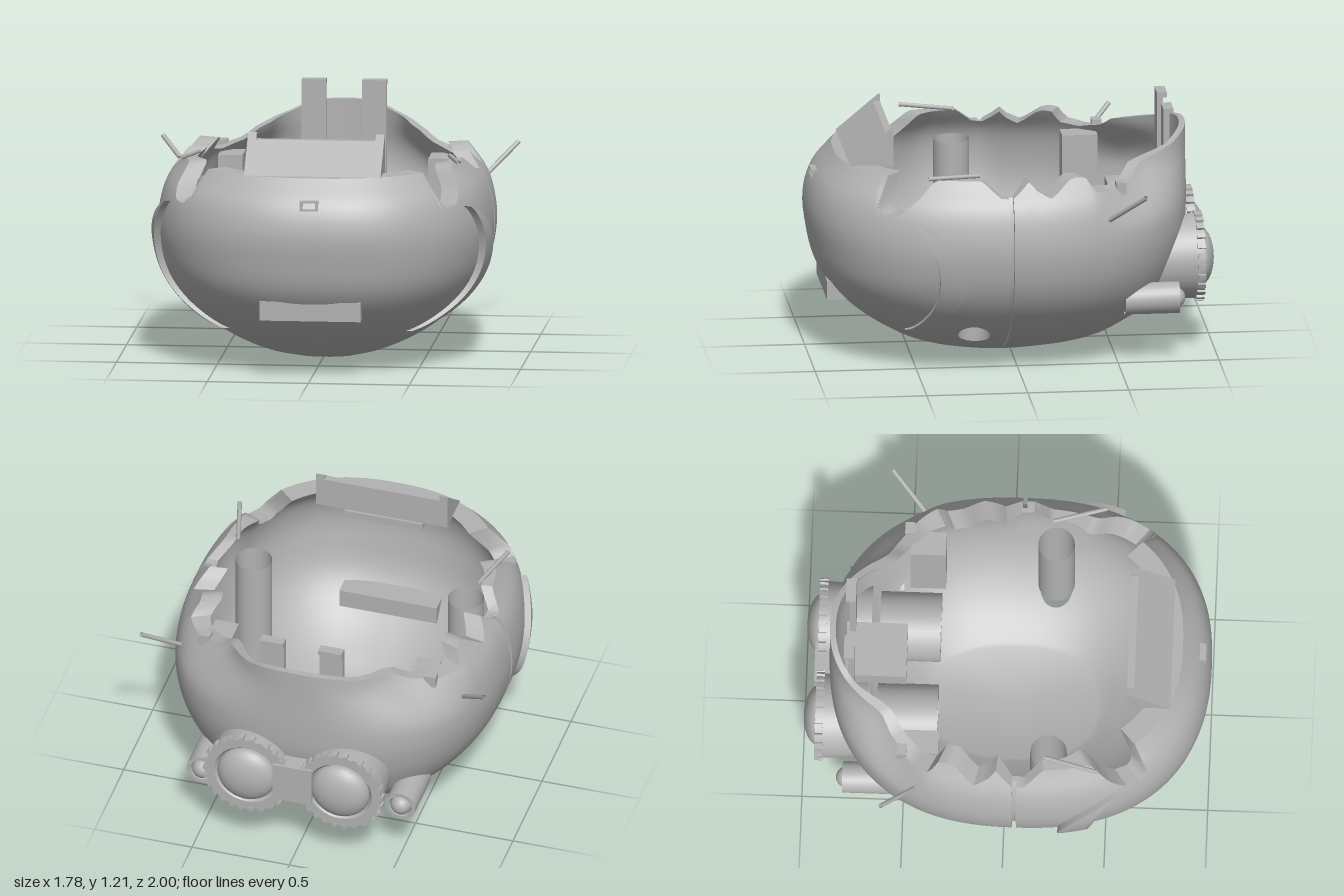
import * as THREE from 'three';
import { toCreasedNormals } from 'three/addons/utils/BufferGeometryUtils.js';

const grey = new THREE.MeshStandardMaterial({ color: 0xb2b2b2, side: THREE.DoubleSide });
grey.name = 'grey';
const smooth = THREE.MathUtils.smoothstep;

// Hull sections by height: half width, front z, back z
const sections = [
  [0, 0.17, 0.24, -0.2], [0.05, 0.32, 0.46, -0.42], [0.15, 0.52, 0.66, -0.6], [0.28, 0.675, 0.83, -0.75],
  [0.42, 0.775, 0.94, -0.82], [0.6, 0.825, 0.99, -0.87], [0.75, 0.82, 1.0, -0.88], [0.88, 0.78, 0.96, -0.88],
  [1.0, 0.69, 0.86, -0.88], [1.1, 0.64, 0.78, -0.88]
];
const sectionAt = new THREE.CubicInterpolant(sections.map(s => s[0]), sections.flatMap(s => s.slice(1)), 3);
// Broken rim height by z
const rim = [
  [-0.88, 1.1], [-0.79, 1.05], [-0.61, 1], [-0.57, 0.95], [-0.47, 0.915], [-0.37, 0.93], [-0.32, 1], [-0.25, 1],
  [-0.15, 0.915], [-0.08, 0.95], [-0.03, 1], [0.02, 0.93], [0.09, 0.915], [0.2, 1], [0.44, 1], [0.5, 0.9],
  [0.56, 0.84], [0.63, 0.83], [0.66, 0.88], [0.67, 1], [1, 1]
];
const rimAt = new THREE.LinearInterpolant(rim.map(r => r[0]), rim.map(r => r[1]), 1);
const ZC = 0.055, POW = 2.4;
const hole = { x: 0.545, z: 0.217, r: 0.08 };

function section(y, inset = 0) {
  const [w, f, b] = sectionAt.evaluate(y);
  return { w: w - inset, f: f - inset - ZC, b: ZC - b - inset };
}
function ringPoint(a, y, inset) {
  const s = section(y, inset), c = Math.cos(a), n = Math.sin(a);
  const p = v => Math.sign(v) * Math.pow(Math.abs(v), 2 / POW);
  const z = ZC + (n > 0 ? s.f : s.b) * p(n);
  // The rear narrows towards its raised collar
  const pinch = 1 - 0.24 * smooth(y, 0.72, 1) * smooth(-z, 0.35, 0.65);
  return new THREE.Vector3(s.w * p(c) * pinch, y, z);
}
// Side x of the front half of the hull
function sideX(y, z) {
  const s = section(y);
  return s.w * Math.pow(Math.max(0, 1 - Math.pow(Math.max(0, z - ZC) / s.f, POW)), 1 / POW);
}
// Height of the hull underside at x, z
function undersideY(x, z, inset) {
  let lo = inset * 0.8, hi = 0.7;
  for (let k = 0; k < 24; k++) {
    const y = (lo + hi) / 2, s = section(y, inset);
    const inside = Math.pow(Math.abs(x) / s.w, POW) + Math.pow(Math.abs(z - ZC) / (z > ZC ? s.f : s.b), POW) < 1;
    if (inside) hi = y; else lo = y;
  }
  return (lo + hi) / 2;
}
// Grid surface through rows of points
function loft(rows, skip = () => false, closed = true) {
  const pos = [];
  const n = rows.length;
  for (let i = 0; i < (closed ? n : n - 1); i++) {
    const A = rows[i], B = rows[(i + 1) % n];
    for (let j = 0; j < A.length - 1; j++) {
      const q = [A[j], A[j + 1], B[j + 1], B[j]];
      if (skip(q)) continue;
      for (const k of [0, 1, 2, 0, 2, 3]) pos.push(q[k].x, q[k].y, q[k].z);
    }
  }
  const g = new THREE.BufferGeometry();
  g.setAttribute('position', new THREE.Float32BufferAttribute(pos, 3));
  return toCreasedNormals(g, 0.6);
}

function hullGeometry() {
  const N = 100, LOW = 30, R = 38, gap = 0.011, cols = [];
  // Two halves with a sunken seam between them
  for (const [start, d] of [[0, 1], [Math.PI, -1]]) {
    cols.push({ a: start, dz: -d * gap, sink: 0.035 }, { a: start, dz: d * gap, sink: 0.035 });
    for (let k = 0; k <= N; k++) {
      cols.push({ a: start + Math.PI * k / N, dz: k % N ? 0 : d * gap, sink: 0 });
    }
  }
  const rows = cols.map(({ a, dz, sink }) => {
    const z0 = ringPoint(a, 0.95, 0).z, top = rimAt.evaluate(z0)[0];
    const make = (j, inner) => {
      // Level rows up to 0.8, then rows following the rim
      const base = inner ? 0.08 : 0;
      const y = j <= LOW ? base + (0.8 - base) * Math.pow(j / LOW, 1.25) : 0.8 + (top - 0.8) * (j - LOW) / (R - LOW);
      const thin = 0.07 * smooth(-z0, 0.45, 0.8) + 0.045 * (1 - smooth(Math.abs(z0 - 0.2), 0.1, 0.3));
      const inset = inner ? 0.1 - thin * smooth(y, 0.5, 0.9) : 0;
      const p = ringPoint(a, y, inset);
      p.z += dz;
      if (!inner && y > 0.04) p.x -= Math.sign(p.x) * sink;
      // Snap points onto the edge of the floor holes
      const dx = Math.abs(p.x) - hole.x, dd = p.z - hole.z, d = Math.hypot(dx, dd);
      if (y < 0.5 && d < hole.r * 1.12) {
        const k = hole.r / Math.max(d, 1e-5);
        p.x = Math.sign(p.x) * (hole.x + dx * k);
        p.z = hole.z + dd * k;
        p.y = undersideY(p.x, p.z, inset);
        p.edge = true;
      }
      return p;
    };
    const line = [new THREE.Vector3(0, 0, ZC)];
    for (let j = 0; j <= R; j++) line.push(make(j, false));
    for (let j = R; j >= 0; j--) line.push(make(j, true));
    line.push(new THREE.Vector3(0, 0.08, ZC));
    return line;
  });
  return loft(rows, q => q.every(p => p.edge));
}

// Raised crescent on the side of the hull
function crescentGeometry(side) {
  const rows = [];
  for (let i = 0; i <= 40; i++) {
    const t = i / 40, y = 0.19 + 0.63 * t, bow = Math.pow(Math.max(0, Math.sin(Math.PI * t)), 0.75);
    const back = 0.55 - 0.28 * bow, front = 0.55 - 0.14 * bow, row = [];
    const put = (z, out) => row.push(new THREE.Vector3(side * (sideX(y, z) + out), y, z));
    put(back, -0.02);
    for (let k = 0; k <= 5; k++) put(back + (front - back) * k / 5, 0.033);
    put(front, -0.02);
    rows.push(row);
  }
  return loft(rows, undefined, false);
}

// Wall of the floor hole
function holeWall(side) {
  const rows = [];
  for (let i = 0; i < 32; i++) {
    const a = i / 32 * Math.PI * 2;
    const x = side * (hole.x + hole.r * Math.cos(a)), z = hole.z + hole.r * Math.sin(a);
    rows.push([0, 0.1].map(d => new THREE.Vector3(x, undersideY(x, z, d), z)));
  }
  return loft(rows);
}

export function createModel() {
  const model = new THREE.Group();
  const add = (name, geo, x = 0, y = 0, z = 0, parent = model) => {
    const m = new THREE.Mesh(geo, grey);
    m.name = name;
    m.position.set(x, y, z);
    parent.add(m);
    return m;
  };
  // Box given by its limits
  const box = (name, x0, x1, y0, y1, z0, z1) => add(name, new THREE.BoxGeometry(x1 - x0, y1 - y0, z1 - z0),
    (x0 + x1) / 2, (y0 + y1) / 2, (z0 + z1) / 2);
  const rod = (name, a, b, r) => {
    const A = new THREE.Vector3(...a), B = new THREE.Vector3(...b);
    return add(name, new THREE.TubeGeometry(new THREE.LineCurve3(A, B), 1, r, 8));
  };
  // Turned part with its axis pointing backwards
  const turned = (pts, n = 40) => toCreasedNormals(
    new THREE.LatheGeometry(pts.map(p => new THREE.Vector2(...p)), n).rotateX(-Math.PI / 2), 0.6);
  // Side profile in z, y extruded across x
  const prism = (pts, x0, x1) => {
    const s = new THREE.Shape(pts.map(p => new THREE.Vector2(-p[0], p[1])));
    return new THREE.ExtrudeGeometry(s, { depth: x1 - x0, bevelEnabled: false }).rotateY(Math.PI / 2).translate(x0, 0, 0);
  };

  add('hull', hullGeometry());

  // Front wedge with end cheeks, bumper and small socket
  add('frontWedge', prism([[0.81, 1], [0.63, 1.15], [0.595, 1.15], [0.595, 0.99]], -0.295, 0.295));
  for (const x of [-0.338, 0.295]) add('wedgeCheek', prism([[0.81, 1], [0.595, 1.18], [0.595, 0.99]], x, x + 0.043));
  box('wedgeBracket', -0.2, 0.2, 0.92, 0.96, 0.62, 0.8);
  box('frontBumper', -0.25, 0.25, 0.295, 0.39, 0.7, 0.915);
  for (const s of [-1, 1]) {
    box('socketSide', s * 0.038 - 0.007, s * 0.038 + 0.007, 0.855, 0.905, 0.92, 0.974);
    box('socketEdge', -0.045, 0.045, 0.88 + s * 0.02 - 0.005, 0.88 + s * 0.02 + 0.005, 0.92, 0.974);
  }

  // Rear bridge and deck block
  box('lensBridge', -0.1, 0.1, 0.36, 0.57, -0.955, -0.8);
  box('deckBlock', -0.14, 0.14, 0.68, 0.78, -0.8, -0.5);

  for (const s of [-1, 1]) {
    add('sideCrescent', crescentGeometry(s));
    add('holeWall', holeWall(s));
    add('floorPipe', new THREE.CylinderGeometry(0.09, 0.09, 0.56, 28, 1, true), s * hole.x, 0.6, hole.z);

    // Rear lens with toothed ring
    const lens = new THREE.Group();
    lens.name = 'rearLens';
    lens.position.set(s * 0.24, 0.465, 0);
    model.add(lens);
    add('lensBarrel', turned([[0.2, 0.68], [0.21, 0.9]]), 0, 0, 0, lens);
    add('lensRing', turned([[0.21, 0.9], [0.212, 0.94], [0.165, 0.94], [0.15, 0.92], [0, 0.92]]), 0, 0, 0, lens);
    const dome = add('lensDome', new THREE.SphereGeometry(0.15, 32, 16), 0, 0, -0.925, lens);
    dome.scale.z = 0.5;
    for (let i = 0; i < 26; i++) {
      const a = i / 26 * Math.PI * 2;
      const tooth = add('ringTooth', new THREE.BoxGeometry(0.022, 0.024, 0.04),
        Math.cos(a) * 0.212, Math.sin(a) * 0.212, -0.922, lens);
      tooth.rotation.z = a;
    }

    // Inner barrel with a recessed mouth
    add('innerBarrel', turned([[0, 0.38], [0.13, 0.38], [0.13, 0.34], [0.17, 0.34], [0.17, 0.64], [0, 0.64]]), s * 0.24, 0.465, 0);

    // Small rear pod
    add('rearPod', turned([[0.078, 0.53], [0.078, 0.8], [0.058, 0.8], [0.05, 0.78]], 24), s * 0.51, 0.33, 0);
    add('podDome', new THREE.SphereGeometry(0.052, 20, 12), s * 0.51, 0.33, -0.78);

    // Upright plates, side lockers, antennas and rim debris
    box('uprightPlate', s * 0.15 - 0.06, s * 0.15 + 0.06, 0.7, 1.21, -0.785, -0.755);
    box('plateLip', s * 0.15 - 0.06, s * 0.15 + 0.06, 1.185, 1.21, -0.805, -0.755);
    box('sideLocker', s * 0.52 - 0.06, s * 0.52 + 0.06, 0.42, 0.9, -0.5, -0.325);
    rod('antenna', [s * 0.88, 0.945, -0.6], [s * 0.71, 0.78, -0.42], 0.012);
    rod('rimRod', [s * 0.62, 1.01, 0.2], [s * 0.69, 1.02, 0.46], 0.011);
    box('rimBlock', s * 0.58 - 0.03, s * 0.58 + 0.03, 0.89, 0.95, -0.53, -0.48);
  }
  return model;
}
